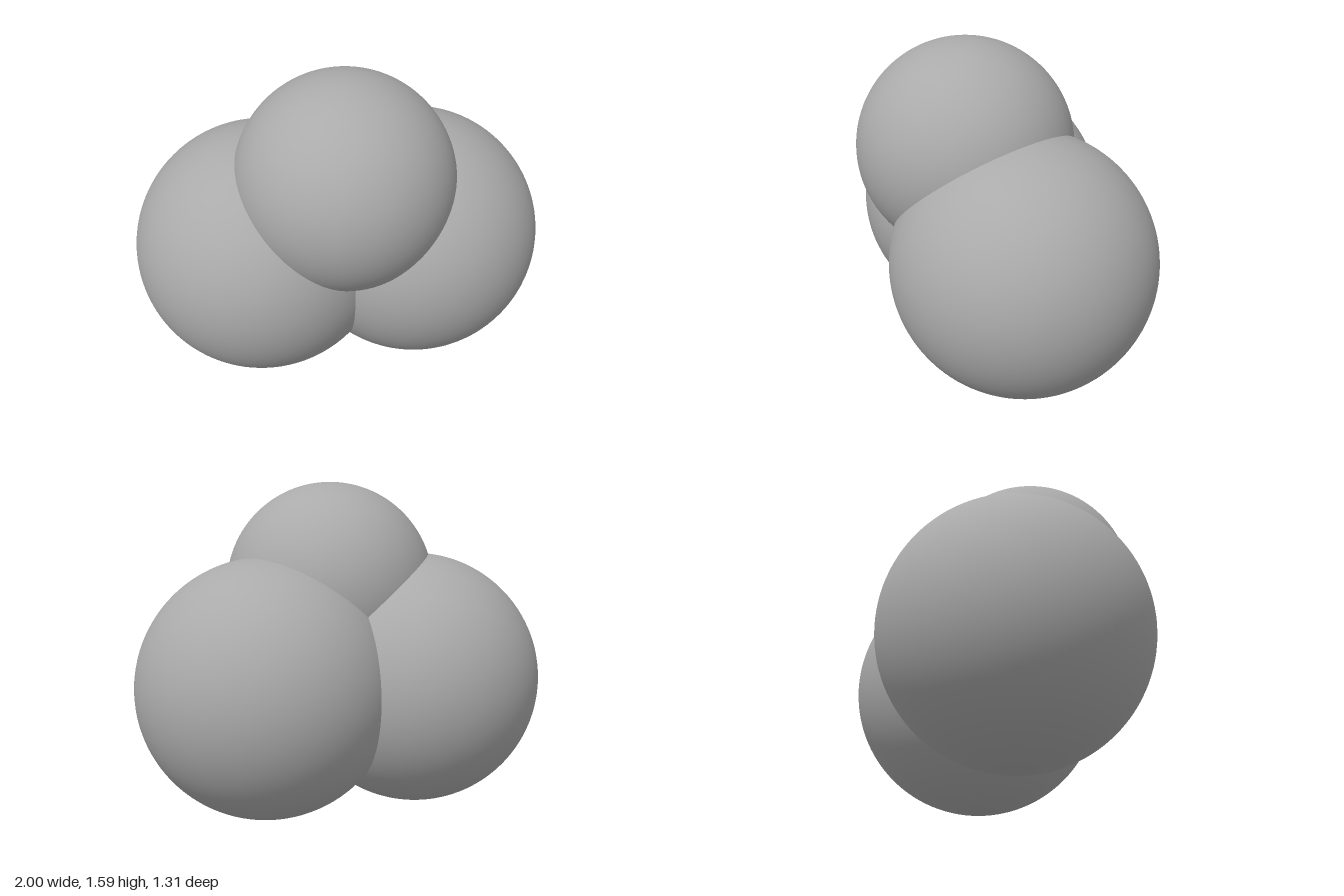
import * as THREE from 'three';

export function createModel() {
  const model = new THREE.Group();
  model.name = 'sphereCluster';

  const grey = new THREE.MeshStandardMaterial({ color: 0xaaaaaa });
  grey.name = 'grey';

  const addSphere = (name, radius, x, y, z) => {
    const mesh = new THREE.Mesh(new THREE.SphereGeometry(radius, 96, 64), grey);
    mesh.name = name;
    mesh.position.set(x, y, z);
    model.add(mesh);
  };

  // Two large mirrored spheres overlapping on the centre plane
  for (const [name, side] of [['leftSphere', 1], ['rightSphere', -1]]) {
    addSphere(name, 0.62, side * 0.38, 0.62, -0.035);
  }

  // Smaller sphere resting in the front upper hollow between them
  addSphere('topSphere', 0.513, 0, 1.073, 0.141);

  return model;
}
